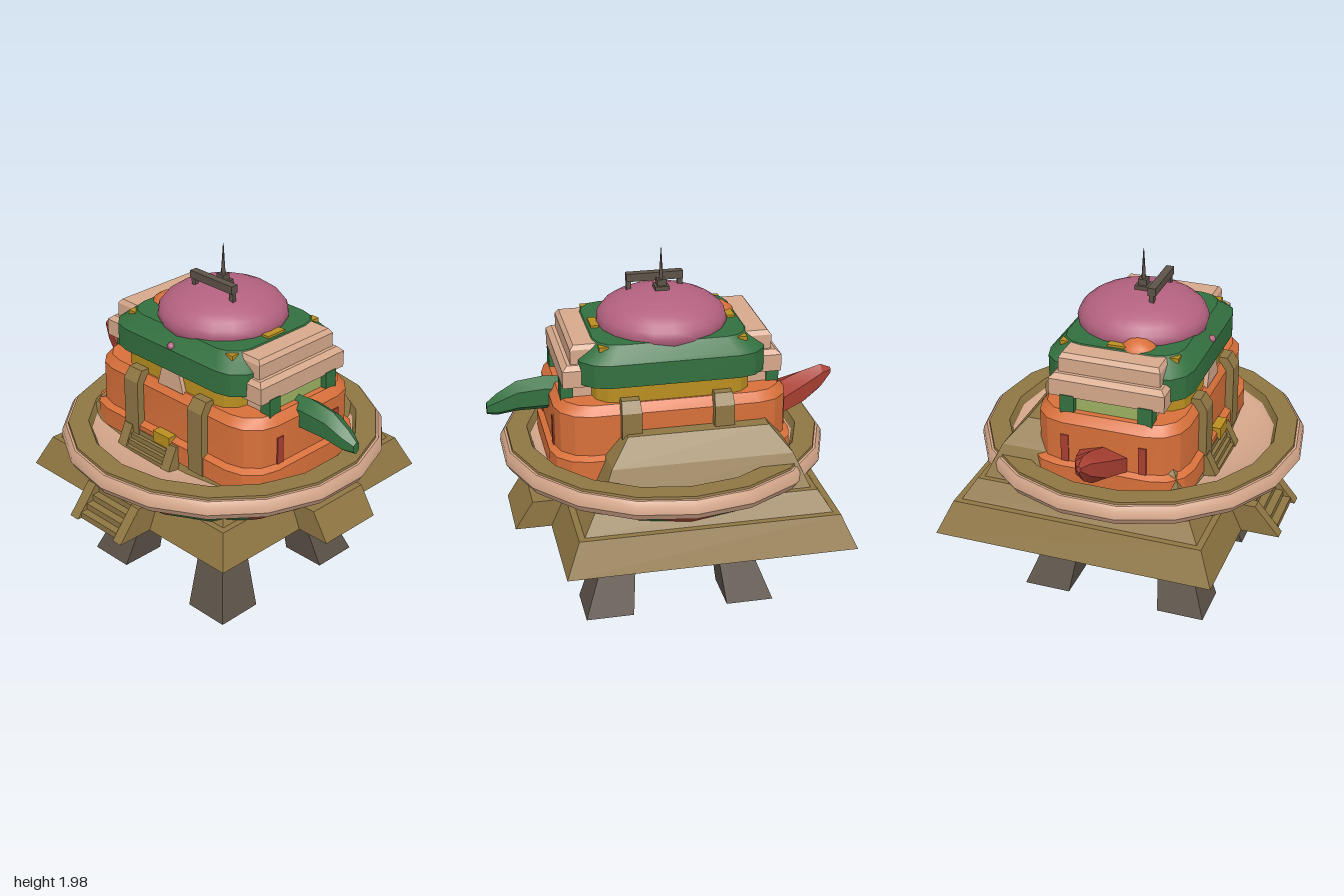
import * as THREE from 'three';
import { toCreasedNormals } from 'three/addons/utils/BufferGeometryUtils.js';

const mat = (name, color) => {
  const m = new THREE.MeshStandardMaterial({ color });
  m.name = name;
  return m;
};

// Geometry from a flat list of triangle corners
function fromTriangles(points, crease = 0.5) {
  const g = new THREE.BufferGeometry().setFromPoints(points);
  g.computeVertexNormals();
  return toCreasedNormals(g, crease);
}

// Skin over a list of equal-sized rings, closed at both ends
function loft(rings, crease = 0.5) {
  const t = [], n = rings[0].length;
  for (let k = 0; k < rings.length - 1; k++) {
    const a = rings[k], b = rings[k + 1];
    for (let i = 0; i < n; i++) {
      const j = (i + 1) % n;
      t.push(a[i], a[j], b[j], a[i], b[j], b[i]);
    }
  }
  const lo = rings[0], hi = rings[rings.length - 1];
  for (let i = 1; i < n - 1; i++) t.push(lo[0], lo[i + 1], lo[i], hi[0], hi[i], hi[i + 1]);
  return fromTriangles(t, crease);
}

// Horizontal rectangle ring
const rect = (cx, y, cz, w, d) => [[1, 1], [1, -1], [-1, -1], [-1, 1]]
  .map(([a, b]) => new THREE.Vector3(cx + a * w / 2, y, cz + b * d / 2));

// Horizontal rounded rectangle ring, half sizes w and d
function roundRect(y, w, d, r, n = 3) {
  const ring = [];
  [[1, -1], [-1, -1], [-1, 1], [1, 1]].forEach(([sx, sz], q) => {
    for (let i = 0; i <= n; i++) {
      const a = (q + i / n) * Math.PI / 2;
      ring.push(new THREE.Vector3(sx * (w - r) + r * Math.cos(a), y, sz * (d - r) - r * Math.sin(a)));
    }
  });
  return ring;
}

// Curved horn along +x or -x; stations are [x, y, halfHeight, halfDepth]
const horn = (dir, stations) => loft(stations.map(([x, y, h, d]) =>
  Array.from({ length: 6 }, (_, i) => {
    const a = i * Math.PI / 3;
    return new THREE.Vector3(x, y + h * Math.cos(a), dir * d * Math.sin(a));
  })), 0.4);

export function createModel() {
  const model = new THREE.Group();
  const orange = mat('orange', 0xd8703a), brown = mat('brown', 0x8f7643), green = mat('green', 0x33703f),
    pink = mat('pink', 0xb3617f), peach = mat('peach', 0xd6a88b), red = mat('red', 0xa93f32),
    yellow = mat('yellow', 0xba8f20), dark = mat('dark stone', 0x5c5248),
    lime = mat('light green', 0x9caf60), rubber = mat('rubber', 0x403a36);

  const add = (name, geo, material, parent = model) => {
    const m = new THREE.Mesh(geo, material);
    m.name = name;
    parent.add(m);
    return m;
  };
  const box = (name, material, x0, x1, y0, y1, z0, z1, parent) => {
    const m = add(name, new THREE.BoxGeometry(x1 - x0, y1 - y0, z1 - z0), material, parent);
    m.position.set((x0 + x1) / 2, (y0 + y1) / 2, (z0 + z1) / 2);
    return m;
  };
  const lathe = (name, material, pts) => add(name, toCreasedNormals(
    new THREE.LatheGeometry(pts.map(p => new THREE.Vector2(...p)), 18), 0.6), material);

  // Stepped square platform
  [[0.5, 0.795, 0.68, 0.715], [0.68, 0.68, 0.79, 0.61], [0.79, 0.58, 0.97, 0.5], [0.97, 0.5, 1.1, 0.39]]
    .forEach(([y0, h0, y1, h1], i) => add('platformStep' + (i + 1),
      loft([rect(-0.105, y0, -0.11, 2 * h0, 2 * h0), rect(-0.105, y1, -0.11, 2 * h1, 2 * h1)]), brown));

  // Stairs: two sloped side walls with treads between
  function stairs(name, z, y, depth, height) {
    const g = new THREE.Group();
    g.name = name;
    for (const s of [-1, 1]) add('stairWall', loft([
      rect(s * 0.18, 0, -depth / 2, 0.065, depth), rect(s * 0.18, height, -depth * 0.72, 0.065, depth * 0.56)]), brown, g);
    for (let i = 0; i < 4; i++) {
      const front = -depth * (0.08 + 0.14 * i);
      box('tread', brown, -0.15, 0.15, 0, height * 0.22 * (i + 1), -depth, front, g);
    }
    g.position.set(-0.1, y, z);
    model.add(g);
  }
  stairs('frontStairs', 0.9, 0.5, 0.32, 0.17);
  stairs('deckStairs', 0.54, 0.8, 0.15, 0.14);
  add('sideRamp', loft([rect(0.74, 0.5, -0.11, 0.3, 0.4), rect(0.69, 0.66, -0.11, 0.2, 0.4)]), brown);

  // Bowl: rim, ledge, deck
  lathe('bowlRim', peach, [[0.83, 0.78], [0.9, 0.79], [0.925, 0.83], [0.92, 0.87], [0.9, 0.9], [0.86, 0.905]]);
  lathe('rimLedge', brown, [[0.89, 0.89], [0.885, 0.915], [0.77, 0.915], [0.75, 0.87]]);
  lathe('deck', peach, [[0.77, 0.88], [0.72, 0.84], [0.5, 0.8], [0, 0.79]]);
  lathe('bowlBottom', green, [[0, 0.55], [0.5, 0.555], [0.64, 0.61], [0.75, 0.68]]);

  // Zigzag band round the bowl
  const ringPoint = (i, r, y) => new THREE.Vector3(r * Math.sin(i * Math.PI / 9), y, r * Math.cos(i * Math.PI / 9));
  const redTris = [], greenTris = [];
  for (let i = 0; i < 18; i++) {
    const a = ringPoint(i, 0.75, 0.68), b = ringPoint(i + 1, 0.75, 0.68);
    const c = ringPoint(i + 1, 0.86, 0.785), d = ringPoint(i, 0.86, 0.785);
    if (i % 2 === 0) { redTris.push(d, b, c); greenTris.push(a, b, d); }
    else { redTris.push(d, a, c); greenTris.push(a, b, c); }
  }
  add('bowlBandRed', fromTriangles(redTris), red);
  add('bowlBandGreen', fromTriangles(greenTris), green);

  // Main body
  add('body', loft([roundRect(0.84, 0.68, 0.46, 0.2), roundRect(0.95, 0.68, 0.46, 0.2), roundRect(0.97, 0.65, 0.425, 0.19),
    roundRect(1.2, 0.65, 0.425, 0.19), roundRect(1.25, 0.61, 0.39, 0.17)]), orange);
  add('neck', loft([roundRect(1.22, 0.44, 0.38, 0.14), roundRect(1.4, 0.44, 0.38, 0.14)]), yellow);
  add('cap', loft([roundRect(1.35, 0.525, 0.41, 0.17), roundRect(1.48, 0.525, 0.41, 0.17),
    roundRect(1.5, 0.5, 0.39, 0.16), roundRect(1.565, 0.42, 0.335, 0.13)]), green);
  add('frontCrest', loft([rect(0, 1.24, 0.385, 0.2, 0.04), rect(0, 1.36, 0.385, 0.13, 0.04)]), peach);
  box('frontLatch', yellow, -0.07, 0.06, 0.91, 0.98, 0.42, 0.48);
  add('capStud', new THREE.SphereGeometry(0.022, 8, 6), pink).position.set(0, 1.495, 0.395);

  // Pillars, front and back
  for (const sx of [-1, 1]) for (const sz of [-1, 1]) {
    add('pillar', loft([rect(sx * 0.255, 0.84, sz * 0.42, 0.11, 0.1), rect(sx * 0.255, 1.22, sz * 0.42, 0.11, 0.1),
      rect(sx * 0.255, 1.28, sz * 0.4, 0.1, 0.06)]), brown);
    add('capCorner', new THREE.BoxGeometry(0.05, 0.025, 0.05), yellow).position.set(sx * 0.38, 1.545, sz * 0.31);
    box('bodySlot', red, sx * 0.652 - 0.004, sx * 0.652 + 0.004, 0.97, 1.13, sz * 0.22 - 0.022, sz * 0.22 + 0.022);
  }

  // Side stacks with brackets
  const side = (name, m, s, x0, x1, ...rest) =>
    box(name, m, Math.min(s * x0, s * x1), Math.max(s * x0, s * x1), ...rest);
  for (const s of [-1, 1]) {
    add('sideShelf', loft([rect(s * 0.505, 1.335, 0, 0.2, 0.65), rect(s * 0.505, 1.43, 0, 0.2, 0.65),
      rect(s * 0.495, 1.455, 0, 0.16, 0.6)]), peach);
    add('upperShelf', loft([rect(s * 0.48, 1.45, 0, 0.15, 0.57), rect(s * 0.48, 1.535, 0, 0.15, 0.57),
      rect(s * 0.47, 1.56, 0, 0.13, 0.54)]), peach);
    side('shelfSupport', peach, s, 0.42, 0.55, 1.24, 1.335, -0.25, 0.25);
    side('sideWindow', lime, s, 0.53, 0.575, 1.235, 1.335, -0.19, 0.19);
    for (const z of [-0.22, 0.22]) side('bracket', green, s, 0.54, 0.61, 1.22, 1.345, z - 0.04, z + 0.04);
    side('capTab', yellow, s, 0.36, 0.405, 1.54, 1.578, -0.065, 0.065);
  }

  // Horn arms
  add('rightHorn', horn(-1, [[-0.55, 0.99, 0.08, 0.16], [-0.65, 1.01, 0.085, 0.155], [-0.82, 1.07, 0.1, 0.1],
    [-0.94, 1.13, 0.075, 0.05], [-1, 1.16, 0.02, 0.015]]), red);
  add('leftHorn', horn(1, [[0.55, 1.17, 0.1, 0.08], [0.66, 1.18, 0.1, 0.085], [0.82, 1.17, 0.09, 0.075],
    [0.93, 1.13, 0.065, 0.055], [0.99, 1.11, 0.035, 0.025]]), green);

  // Dome, bump and mast
  const dome = add('dome', new THREE.SphereGeometry(1, 20, 14), pink);
  dome.scale.set(0.365, 0.165, 0.365);
  dome.position.y = 1.58;
  add('sideBump', new THREE.SphereGeometry(0.12, 12, 8), orange).position.set(-0.335, 1.495, 0.09);
  box('mastBase', dark, -0.04, 0.04, 1.73, 1.765, -0.04, 0.04);
  box('mastBlock', dark, -0.025, 0.025, 1.76, 1.8, -0.025, 0.025);
  add('mast', new THREE.CylinderGeometry(0.002, 0.014, 0.19, 6), dark).position.y = 1.88;
  box('beam', dark, -0.14, 0.18, 1.765, 1.81, 0.07, 0.115);
  for (const x of [-0.125, 0.165]) box('beamPost', dark, x - 0.014, x + 0.014, 1.7, 1.77, 0.08, 0.105);

  // Undercarriage
  add('lowerHull', loft([roundRect(0.42, 0.38, 0.33, 0.12), roundRect(0.45, 0.44, 0.375, 0.14),
    roundRect(0.51, 0.44, 0.375, 0.14)]), yellow);
  const belly = add('belly', new THREE.SphereGeometry(1, 18, 12), lime);
  belly.scale.set(0.31, 0.18, 0.31);
  belly.position.y = 0.43;

  for (const sx of [-1, 1]) {
    side('axleBar', green, sx, 0.55, 0.61, 0.45, 0.5, -0.26, 0.26);
    side('axleMount', peach, sx, 0.42, 0.55, 0.46, 0.505, -0.24, 0.24);
    side('axleBlock', yellow, sx, 0.36, 0.45, 0.33, 0.47, -0.065, 0.065);
    for (const sz of [-1, 1]) {
      // Splayed leg
      add('leg', loft([rect(sx * 0.405, 0, sz * 0.405, 0.27, 0.27), rect(sx * 0.28, 0.5, sz * 0.28, 0.135, 0.135)]), dark);
      // Wheel and hub
      const wheel = new THREE.Group();
      wheel.name = 'wheel';
      add('tyre', new THREE.TorusGeometry(0.078, 0.042, 8, 18), rubber, wheel);
      add('hub', new THREE.CylinderGeometry(0.045, 0.045, 0.07, 10).rotateX(Math.PI / 2), dark, wheel);
      add('spoke', new THREE.BoxGeometry(0.15, 0.025, 0.03), dark, wheel);
      wheel.rotation.y = Math.PI / 2;
      wheel.position.set(sx * 0.475, 0.42, sz * 0.2);
      model.add(wheel);
      // Small thruster
      const cx = sx * 0.34, cz = sz * 0.18;
      add('thruster', loft([rect(cx, 0.21, cz, 0.08, 0.08), rect(cx, 0.42, cz - sz * 0.02, 0.06, 0.06)]), brown);
      add('thrusterTip', loft([rect(cx, 0.18, cz, 0.05, 0.06), rect(cx, 0.215, cz, 0.082, 0.082)]), orange);
    }
  }
  return model;
}
